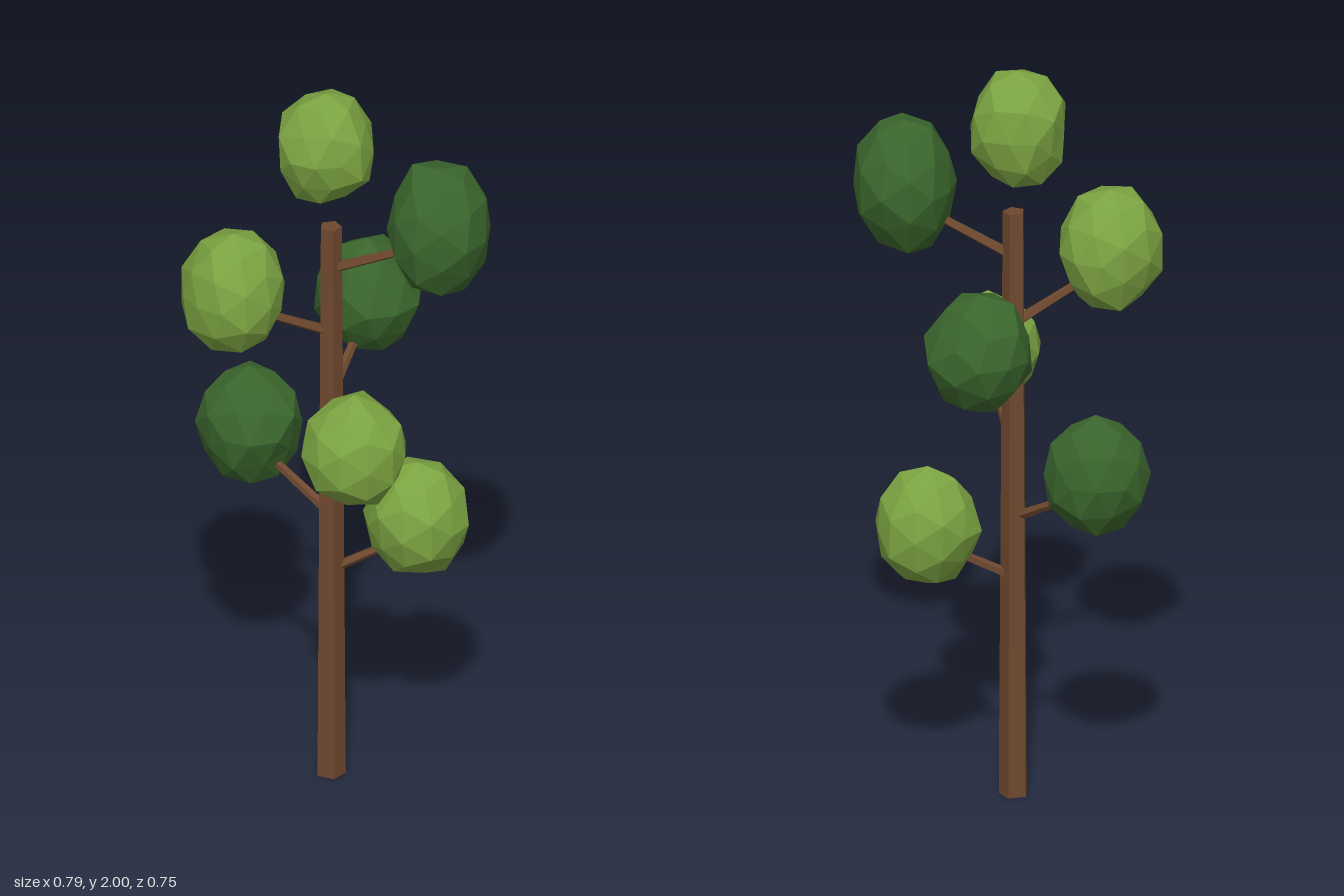
import * as THREE from 'three';

const bark = new THREE.MeshStandardMaterial({ color: 0x6e482e, flatShading: true });
bark.name = 'bark brown';
const light = new THREE.MeshStandardMaterial({ color: 0x7ba341, flatShading: true });
light.name = 'light leaf green';
const dark = new THREE.MeshStandardMaterial({ color: 0x3a652c, flatShading: true });
dark.name = 'dark leaf green';

const TRUNK = { x: -0.011, z: -0.045, height: 1.61 };

// Clumps: name, material, centre, half sizes, height where the branch leaves the trunk
const CLUMPS = [
  ['topLeaves', light, [-0.022, 1.84, -0.052], [0.123, 0.16, 0.118], null],
  ['upperLeftLeaves', dark, [0.26, 1.657, 0.053], [0.133, 0.172, 0.142], 1.485],
  ['upperRightLeaves', light, [-0.262, 1.473, 0.028], [0.132, 0.162, 0.132], 1.3],
  ['middleBackLeaves', dark, [0.095, 1.3, -0.237], [0.138, 0.162, 0.139], 1.11],
  ['middleFrontLeaves', light, [0.033, 1.12, 0.24], [0.135, 0.155, 0.135], 0.94],
  ['lowerRightLeaves', dark, [-0.212, 0.947, -0.207], [0.137, 0.163, 0.128], 0.765],
  ['lowerLeftLeaves', light, [0.207, 0.748, -0.04], [0.133, 0.162, 0.133], 0.6],
];

// Repeatable value in 0..1 for a point, so shared corners move together
function hash(v, seed) {
  const s = Math.sin(Math.round(v.x * 100) * 12.99 + Math.round(v.y * 100) * 78.23 +
    Math.round(v.z * 100) * 37.72 + seed * 4.13) * 43758.5453;
  return s - Math.floor(s);
}

// Faceted, slightly uneven ball fitted to the given half sizes
function leafGeometry(size, seed) {
  const geo = new THREE.IcosahedronGeometry(1, 1);
  geo.rotateY(seed * 1.3);
  const pos = geo.attributes.position;
  const v = new THREE.Vector3();
  for (let i = 0; i < pos.count; i++) {
    v.fromBufferAttribute(pos, i);
    v.multiplyScalar(0.92 + 0.14 * hash(v, seed));
    pos.setXYZ(i, v.x, v.y, v.z);
  }
  geo.center();
  geo.computeBoundingBox();
  const b = geo.boundingBox.max;
  geo.scale(size[0] / b.x, size[1] / b.y, size[2] / b.z);
  geo.computeVertexNormals();
  return geo;
}

// Thin tapered stick between two points
function makeBranch(a, b) {
  const dir = b.clone().sub(a);
  const mesh = new THREE.Mesh(new THREE.CylinderGeometry(0.01, 0.014, dir.length(), 5), bark);
  mesh.position.copy(a).add(b).multiplyScalar(0.5);
  mesh.quaternion.setFromUnitVectors(new THREE.Vector3(0, 1, 0), dir.normalize());
  return mesh;
}

export function createModel() {
  const tree = new THREE.Group();
  tree.name = 'tree';

  // Trunk
  const trunk = new THREE.Mesh(new THREE.CylinderGeometry(0.029, 0.039, TRUNK.height, 5), bark);
  trunk.name = 'trunk';
  trunk.position.set(TRUNK.x, TRUNK.height / 2, TRUNK.z);
  trunk.rotation.y = 0.18;
  tree.add(trunk);

  // Leaf clumps and the branches that carry them
  CLUMPS.forEach(([name, material, centre, size, joint], i) => {
    const leaves = new THREE.Mesh(leafGeometry(size, i + 1), material);
    leaves.name = name;
    leaves.position.set(...centre);
    tree.add(leaves);
    if (joint === null) return;
    const start = new THREE.Vector3(TRUNK.x, joint, TRUNK.z);
    const end = new THREE.Vector3(centre[0], centre[1] - 0.045, centre[2]);
    const branch = makeBranch(start, end);
    branch.name = name.replace('Leaves', 'Branch');
    tree.add(branch);
  });

  return tree;
}
